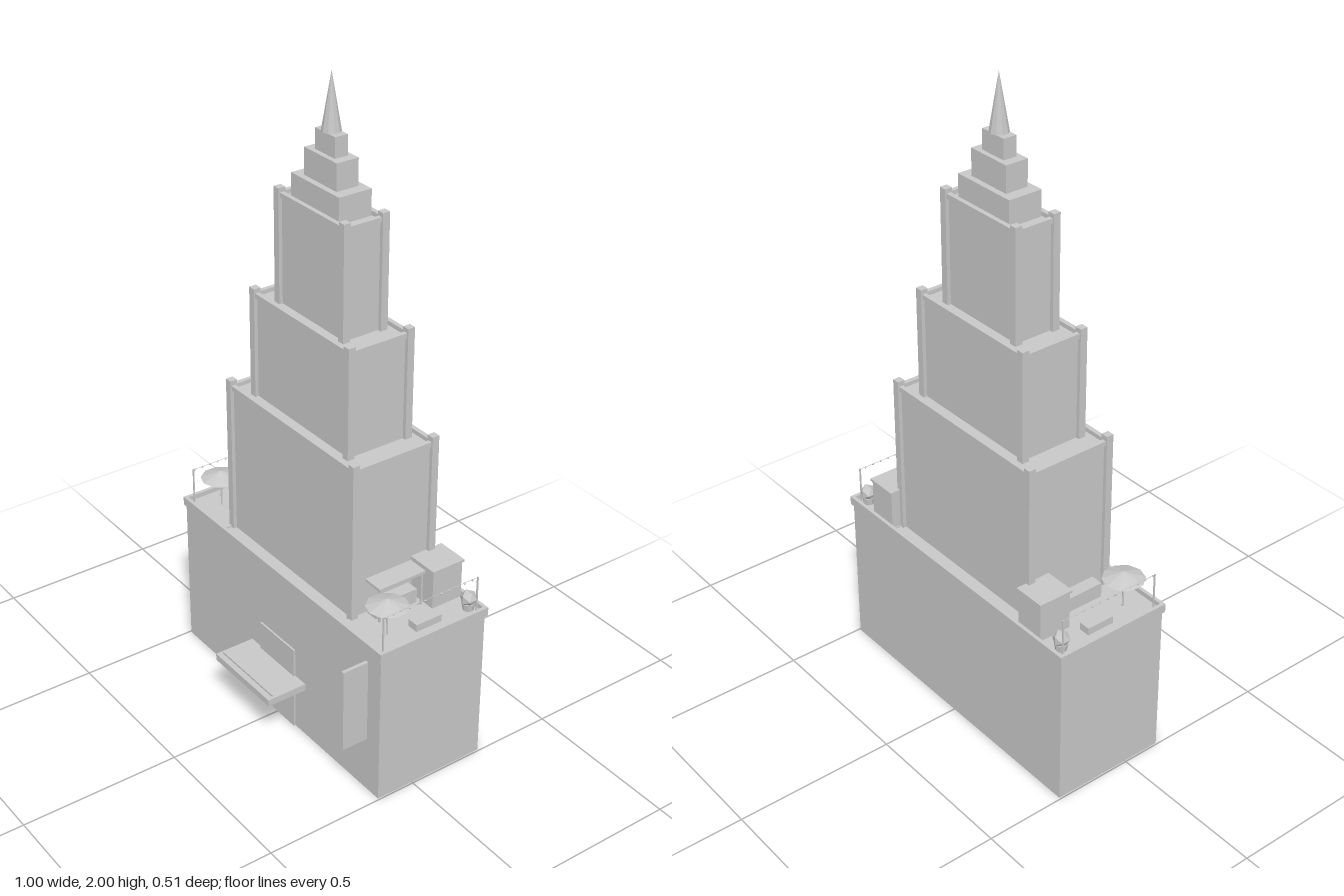
import * as THREE from 'three';

const stone = new THREE.MeshStandardMaterial({ color: 0xc8c8c8, flatShading: true });
stone.name = 'light stone grey';
const ZC = -0.063; // tower axis

export function createModel() {
  const root = new THREE.Group();
  root.name = 'steppedTower';

  const add = (name, geo, x, y, z, parent = root) => {
    const m = new THREE.Mesh(geo, stone);
    m.name = name;
    m.position.set(x, y, z);
    parent.add(m);
    return m;
  };
  // Box given by its extents on each axis
  const box = (name, x0, x1, y0, y1, z0, z1, parent) =>
    add(name, new THREE.BoxGeometry(x1 - x0, y1 - y0, z1 - z0),
      (x0 + x1) / 2, (y0 + y1) / 2, (z0 + z1) / 2, parent);
  // Four beams around a rectangle centred on the tower axis
  const rim = (name, hx, hz, t, y0, y1, parent) => {
    for (const s of [-1, 1]) {
      const z = ZC + s * (hz - t / 2), x = s * (hx - t / 2);
      box(name, -hx, hx, y0, y1, z - t / 2, z + t / 2, parent);
      box(name, x - t / 2, x + t / 2, y0, y1, ZC - hz + t, ZC + hz - t, parent);
    }
  };

  // Podium with parapet
  box('podium', -0.495, 0.495, 0, 0.495, ZC - 0.185, ZC + 0.186);
  rim('parapet', 0.501, 0.192, 0.011, 0.487, 0.515);

  // Three set-back tiers with corner piers and roof rims: pier x, pier z, base, roof, pier top
  const tiers = [
    [0.298, 0.137, 0.495, 0.987, 1.003],
    [0.223, 0.1, 0.972, 1.305, 1.319],
    [0.149, 0.064, 1.29, 1.628, 1.641],
  ];
  tiers.forEach(([px, pz, y0, y1, top], i) => {
    const tier = new THREE.Group();
    tier.name = 'tier' + (i + 1);
    root.add(tier);
    box('tierBody', -px, px, y0, y1 - 0.013, ZC - pz, ZC + pz, tier);
    rim('roofRim', px + 0.007, pz + 0.007, 0.014, y1 - 0.015, y1, tier);
    for (const sx of [-1, 1]) for (const sz of [-1, 1]) {
      const x = sx * px, z = ZC + sz * pz;
      box('cornerPier', x - 0.0115, x + 0.0115, y0, top, z - 0.0115, z + 0.0115, tier);
    }
  });

  // Stepped crown and spire
  [[0.108, 0.054, 1.61, 1.693], [0.073, 0.036, 1.693, 1.773], [0.045, 0.021, 1.773, 1.833]]
    .forEach(([hx, hz, y0, y1]) => box('crownStep', -hx, hx, y0, y1, ZC - hz, ZC + hz));
  add('spire', new THREE.ConeGeometry(0.028, 0.167, 10), 0, 1.9165, ZC);

  // Entrance: door panel, canopy, lamp bar and projecting blade
  box('doorPanel', -0.087, 0.087, 0, 0.28, 0.12, 0.129);
  box('canopy', -0.14, 0.138, 0.164, 0.186, 0.12, 0.255);
  box('canopyTrim', -0.13, 0.13, 0.186, 0.192, 0.233, 0.237);
  box('lampBar', -0.11, 0.11, 0.138, 0.153, 0.12, 0.134);
  box('wallBlade', 0.427, 0.438, 0.18, 0.45, 0.12, 0.208);

  // Terraces on both sides
  for (const s of [-1, 1]) {
    const t = new THREE.Group();
    t.name = s > 0 ? 'leftTerrace' : 'rightTerrace';
    root.add(t);
    const sb = (name, a, b, ...rest) =>
      box(name, Math.min(s * a, s * b), Math.max(s * a, s * b), ...rest, t);

    sb('deck', 0.297, 0.489, 0.495, 0.5, ZC - 0.181, ZC + 0.181);
    sb('hut', 0.3, 0.396, 0.5, 0.62, -0.241, -0.136);
    sb('hutRoof', 0.297, 0.401, 0.62, 0.628, -0.245, -0.132);
    sb('lounger', 0.422, 0.458, 0.5, 0.523, -0.12, -0.03);
    sb('counter', 0.305, 0.345, 0.5, 0.546, -0.12, 0.025);
    if (s > 0) {
      sb('barRoof', 0.3, 0.367, 0.607, 0.616, -0.131, 0.031);
      for (const z of [-0.124, 0.024]) sb('barPost', 0.356, 0.362, 0.5, 0.607, z - 0.003, z + 0.003);
    }

    // Parasol
    add('parasolPole', new THREE.CylinderGeometry(0.003, 0.003, 0.105, 6), s * 0.417, 0.5525, 0.043, t);
    add('parasolCanopy', new THREE.ConeGeometry(0.063, 0.023, 10), s * 0.417, 0.609, 0.043, t);

    // Potted shrub
    add('pot', new THREE.CylinderGeometry(0.02, 0.016, 0.024, 8), s * 0.457, 0.511, -0.218, t);
    add('shrub', new THREE.IcosahedronGeometry(0.026, 0), s * 0.457, 0.538, -0.218, t);

    // String of bulbs between two posts
    for (const z of [-0.23, 0.104]) sb('stringPost', 0.476, 0.48, 0.5, 0.617, z - 0.002, z + 0.002);
    sb('stringWire', 0.4775, 0.4785, 0.615, 0.616, -0.23, 0.104);
    for (let i = 0; i < 12; i++)
      add('bulb', new THREE.OctahedronGeometry(0.004), s * 0.478, 0.614, -0.21 + i * 0.028, t);
  }
  return root;
}
